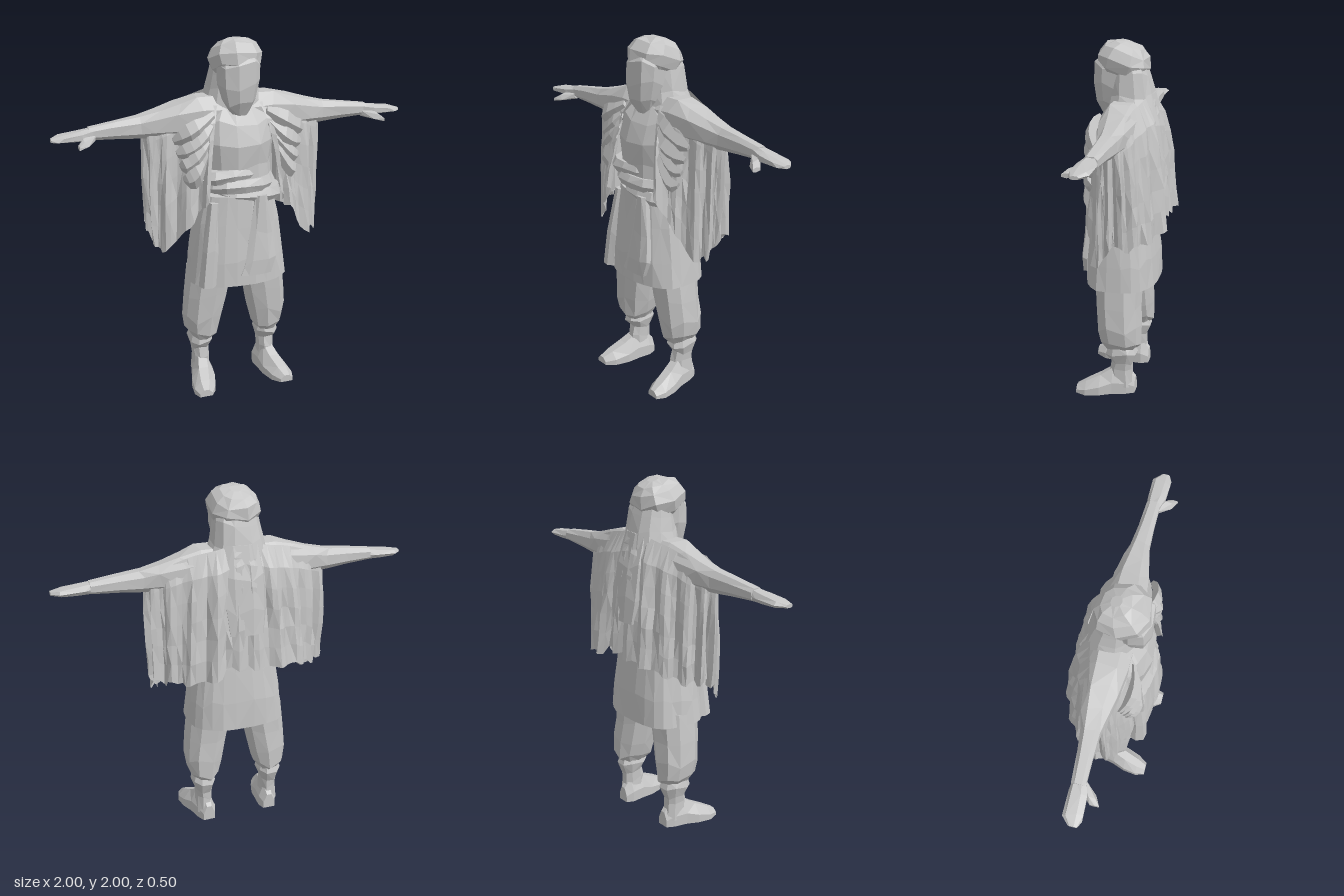
import * as THREE from 'three';

const cloth = new THREE.MeshStandardMaterial({ color: 0xc6c6c6, side: THREE.DoubleSide });
cloth.name = 'pale grey';

// Repeatable noise in 0..1
const noise = (a, b = 0) => {
  const s = Math.sin(a * 12.9898 + b * 78.233 + 1.7) * 43758.5453;
  return s - Math.floor(s);
};

// Faceted skin over a grid of points; rows may be closed loops with end caps
function skin(name, rows, closed, flip = false) {
  const pos = [];
  const tri = (a, b, c) => (flip ? [a, c, b] : [a, b, c]).forEach(p => pos.push(p.x, p.y, p.z));
  const n = rows[0].length;
  for (let i = 0; i < rows.length - 1; i++) {
    for (let j = 0; j < (closed ? n : n - 1); j++) {
      const k = (j + 1) % n;
      const a = rows[i][j], b = rows[i][k], c = rows[i + 1][k], d = rows[i + 1][j];
      if ((i + j) % 2) { tri(a, d, b); tri(b, d, c); } else { tri(a, d, c); tri(a, c, b); }
    }
  }
  if (closed) {
    [rows[0], rows[rows.length - 1]].forEach((r, e) => {
      const m = r.reduce((s, p) => s.add(p), new THREE.Vector3()).divideScalar(n);
      r.forEach((p, j) => (e ? tri(m, r[(j + 1) % n], p) : tri(m, p, r[(j + 1) % n])));
    });
  }
  const g = new THREE.BufferGeometry();
  g.setAttribute('position', new THREE.Float32BufferAttribute(pos, 3));
  g.computeVertexNormals();
  const mesh = new THREE.Mesh(g, cloth);
  mesh.name = name;
  return mesh;
}

// Rings along y: [y, xMin, xMax, zMin, zMax]; along x: [x, zMin, zMax, yMin, yMax]
function loft(name, rings, { n = 10, along = 'y', side = 1, fold = 0.05, seed = 1 } = {}) {
  const rows = rings.map(([t, a0, a1, b0, b1], i) => Array.from({ length: n }, (_, j) => {
    const w = (j + 0.5) / n * Math.PI * 2;
    const f = 1 + fold * 2 * (0.55 * noise(j, seed) + 0.45 * noise(i * 7 + j, seed + 3) - 0.5);
    const inner = i > 0 && i < rings.length - 1;
    const s = t + (inner ? (noise(i * 5 + j, seed + 6) - 0.5) * Math.min(0.05, (rings[i + 1][0] - rings[i - 1][0]) * 0.25) : 0);
    const round = v => Math.sign(v) * Math.pow(Math.abs(v), 0.8) * f;
    const a = (a0 + a1) / 2 + (a1 - a0) / 2 * round(Math.cos(w));
    const b = (b0 + b1) / 2 + (b1 - b0) / 2 * round(Math.sin(w));
    return along === 'y' ? new THREE.Vector3(a * side, s, b) : new THREE.Vector3(s * side, b, a);
  }));
  return skin(name, rows, true, side < 0);
}

// Pleated cape: hangs from shoulder and arm, wrapping front, sleeve and back
function cape(side) {
  const curve = pts => new THREE.CatmullRomCurve3(pts.map(p => new THREE.Vector3(...p)));
  const top = curve([[0.12, 1.65, 0.1], [0.25, 1.66, 0.05], [0.4, 1.62, 0.04], [0.5, 1.57, 0.03],
    [0.51, 1.57, -0.02], [0.42, 1.615, -0.05], [0.26, 1.67, -0.07], [0.13, 1.7, -0.1], [0, 1.74, -0.11]]);
  const hem = curve([[0.2, 1.16, 0.195], [0.31, 1.01, 0.16], [0.44, 0.87, 0.09], [0.485, 0.92, 0.04],
    [0.49, 0.99, -0.03], [0.43, 0.97, -0.1], [0.32, 1.0, -0.18], [0.17, 1.03, -0.225], [0, 1.06, -0.21]]);
  const nu = 44, nv = 6, rows = [];
  for (let i = 0; i <= nv; i++) {
    const v = i / nv, row = [];
    for (let j = 0; j <= nu; j++) {
      const u = j / nu, a = top.getPoint(u), b = hem.getPoint(u);
      const t = hem.getTangent(u);
      const seam = j === nu ? 0 : 1;
      const pleat = (Math.sin(j * 1.35 + v * 0.9) * (0.4 + noise(Math.floor(j / 4), 5)) * 0.02
        + (noise(j + i * 9, side + 4) - 0.5) * 0.014) * seam * Math.min(1, v * 2.5);
      const len = Math.hypot(t.x, t.z) || 1;
      const ragged = (noise(Math.floor(j / 2), side + 8) - 0.5) * 0.05 * v * v * seam;
      const dx = Math.pow(v, 0.6), dz = Math.pow(v, 0.42);
      row.push(new THREE.Vector3(
        (a.x + (b.x - a.x) * dx - t.z / len * pleat) * side,
        a.y + (b.y - a.y) * v + ragged,
        a.z + (b.z - a.z) * dz + t.x / len * pleat));
    }
    rows.push(row);
  }
  return skin('cape', rows, false, side < 0);
}

// Uneven crease swagged across the front of the shoulder
function swag(side, k) {
  const path = new THREE.QuadraticBezierCurve3(
    new THREE.Vector3(0.15 + k * 0.012, 1.61 - k * 0.06, 0.13 + k * 0.012),
    new THREE.Vector3(0.25 + noise(k, 2) * 0.05, 1.53 - k * 0.1, 0.19),
    new THREE.Vector3(0.37 - k * 0.015, 1.48 - k * 0.07, 0.11 + k * 0.01));
  const rows = Array.from({ length: 6 }, (_, i) => {
    const p = path.getPoint(i / 5), r = 0.014 + (0.012 + 0.02 * noise(i, k + side)) * Math.sin(i / 5 * Math.PI);
    return Array.from({ length: 4 }, (_, j) => {
      const w = j / 4 * Math.PI * 2;
      return new THREE.Vector3((p.x + Math.cos(w) * r * 0.5) * side, p.y + Math.cos(w) * r * 1.4, p.z + Math.sin(w) * r * 0.8);
    });
  });
  return skin('shoulderFold', rows, true, side < 0);
}

export function createModel() {
  const model = new THREE.Group();
  model.name = 'robedFigure';

  // Turban, tipped back
  const turban = loft('turban', [[-0.095, -0.1, 0.1, -0.11, 0.1], [-0.06, -0.13, 0.13, -0.135, 0.135],
    [0, -0.145, 0.145, -0.148, 0.145], [0.05, -0.12, 0.12, -0.125, 0.122], [0.082, -0.08, 0.08, -0.085, 0.075],
    [0.096, -0.03, 0.03, -0.03, 0.03]], { n: 9, fold: 0.03, seed: 2 });
  turban.rotation.x = -0.32;
  turban.position.set(0, 1.897, 0.033);
  model.add(turban);

  // Veiled face, scarf over the neck, and the scarf tail down the back
  model.add(loft('faceVeil', [[1.595, -0.05, 0.05, 0.05, 0.145], [1.66, -0.09, 0.09, 0, 0.185],
    [1.76, -0.115, 0.115, -0.02, 0.195], [1.87, -0.12, 0.12, -0.02, 0.19], [1.92, -0.1, 0.1, -0.02, 0.15]],
  { n: 9, fold: 0.03, seed: 4 }));
  model.add(loft('neckScarf', [[1.5, -0.2, 0.2, -0.17, 0.13], [1.64, -0.165, 0.165, -0.155, 0.12],
    [1.72, -0.14, 0.14, -0.135, 0.11], [1.82, -0.125, 0.125, -0.11, 0.1], [1.9, -0.11, 0.11, -0.08, 0.09]],
  { n: 12, fold: 0.03, seed: 6 }));
  model.add(loft('scarfTail', [[1.24, -0.1, 0.1, -0.22, -0.16], [1.38, -0.12, 0.12, -0.21, -0.12],
    [1.55, -0.12, 0.12, -0.185, -0.08], [1.72, -0.1, 0.1, -0.135, -0.02]], { n: 9, fold: 0.06, seed: 8 }));

  // Tunic chest, wrapped belt and pleated skirt
  model.add(loft('chest', [[1.2, -0.2, 0.2, -0.13, 0.2], [1.32, -0.19, 0.19, -0.14, 0.195],
    [1.45, -0.21, 0.21, -0.15, 0.205], [1.56, -0.2, 0.2, -0.14, 0.17], [1.65, -0.13, 0.13, -0.12, 0.11]],
  { n: 13, fold: 0.03, seed: 10 }));
  [[1.12, 0.205, 0.215], [1.18, 0.215, 0.23], [1.24, 0.205, 0.22]].forEach(([y, rx, z], i) => {
    const wrap = loft('belt', [[y, -rx + 0.02, rx - 0.02, -0.13, z - 0.02], [y + 0.035, -rx, rx, -0.145, z],
      [y + 0.075, -rx + 0.02, rx - 0.02, -0.13, z - 0.02]], { n: 14, fold: 0.03, seed: 12 + i });
    wrap.rotation.z = (i - 1) * 0.05;
    model.add(wrap);
  });
  model.add(loft('skirt', [[0.65, -0.28, 0.28, -0.175, 0.24], [0.8, -0.268, 0.268, -0.165, 0.232],
    [1.0, -0.238, 0.238, -0.14, 0.215], [1.16, -0.2, 0.2, -0.12, 0.2]], { n: 24, fold: 0.045, seed: 15 }));

  // Sash ends hanging from the belt
  model.add(loft('sash', [[0.71, -0.04, 0.15, 0.205, 0.25], [0.78, -0.02, 0.18, 0.195, 0.25],
    [0.95, 0.02, 0.16, 0.17, 0.235], [1.16, 0.06, 0.13, 0.15, 0.225]], { n: 8, fold: 0.06, seed: 17 }));
  model.add(loft('sash', [[0.66, -0.26, -0.17, 0.13, 0.235], [0.85, -0.235, -0.15, 0.13, 0.22],
    [1.13, -0.19, -0.13, 0.09, 0.185]], { n: 7, fold: 0.08, seed: 19 }));

  for (const side of [1, -1]) {
    // Shoulder, arm and flat hand with thumb
    model.add(loft('arm', [[0.06, -0.12, 0.12, 1.42, 1.7], [0.2, -0.11, 0.12, 1.45, 1.7],
      [0.32, -0.1, 0.1, 1.47, 1.67], [0.43, -0.075, 0.075, 1.48, 1.635], [0.52, -0.055, 0.055, 1.485, 1.61],
      [0.66, -0.04, 0.05, 1.495, 1.593], [0.8, -0.03, 0.05, 1.505, 1.573]],
    { along: 'x', side, n: 8, fold: 0.04, seed: 21 }));
    model.add(loft('hand', [[0.78, -0.025, 0.05, 1.505, 1.573], [0.85, -0.03, 0.07, 1.505, 1.562],
      [0.95, -0.03, 0.075, 1.51, 1.548], [1, 0.01, 0.055, 1.515, 1.535]],
    { along: 'x', side, n: 7, fold: 0.02, seed: 23 }));
    model.add(loft('thumb', [[0.77, 0.01, 0.05, 1.5, 1.54], [0.83, 0.03, 0.11, 1.485, 1.53],
      [0.87, 0.08, 0.135, 1.48, 1.505]], { along: 'x', side, n: 6, fold: 0.02, seed: 25 }));

    // Cape and its gathered shoulder folds
    model.add(cape(side));
    for (let k = 0; k < 4; k++) model.add(swag(side, k));

    // Inner sleeve pleats filling the hanging cape
    for (let k = 0; k < 3; k++) {
      const x = 0.31 + k * 0.06, z = 0.06 - k * 0.03;
      model.add(loft('sleevePleat', [[1.06 - k * 0.03, x, x + 0.05, z - 0.05, z + 0.05],
        [1.3, x - 0.01, x + 0.04, z - 0.05, z + 0.05], [1.56, x - 0.02, x + 0.02, z - 0.03, z + 0.03]],
      { side, n: 6, fold: 0.1, seed: 27 + k }));
    }

    // Baggy trouser leg, gathered under the knee
    model.add(loft('trouserLeg', [[0.275, 0.145, 0.25, -0.07, 0.09], [0.32, 0.115, 0.29, -0.105, 0.125],
      [0.42, 0.09, 0.302, -0.105, 0.14], [0.56, 0.06, 0.292, -0.1, 0.15], [0.72, 0.02, 0.275, -0.1, 0.16]],
    { side, n: 9, fold: 0.04, seed: 31 }));

    // Boot shaft and foot, toes turned out
    model.add(loft('bootShaft', [[0.05, 0.15, 0.25, -0.07, 0.07], [0.14, 0.155, 0.245, -0.06, 0.075],
      [0.2, 0.155, 0.25, -0.06, 0.06], [0.26, 0.135, 0.27, -0.09, 0.095], [0.31, 0.15, 0.255, -0.07, 0.08]],
    { side, n: 8, fold: 0.04, seed: 33 }));
    const foot = [[-0.075, 0.155, 0.225, 0.012, 0.1], [-0.03, 0.14, 0.245, 0.01, 0.15], [0.05, 0.145, 0.265, 0.01, 0.16],
      [0.12, 0.15, 0.29, 0.005, 0.115], [0.2, 0.175, 0.3, 0, 0.075], [0.255, 0.21, 0.285, 0.005, 0.045]];
    model.add(skin('foot', foot.map(([z, x0, x1, y0, y1]) => {
      const mid = y0 + (y1 - y0) * 0.45;
      return [[x0, y0], [x1, y0], [x1, mid], [x1 * 0.7 + x0 * 0.3, y1], [x0 * 0.7 + x1 * 0.3, y1], [x0, mid]]
        .map(([x, y]) => new THREE.Vector3(x * side, y, z));
    }), true, side > 0));
  }
  return model;
}
